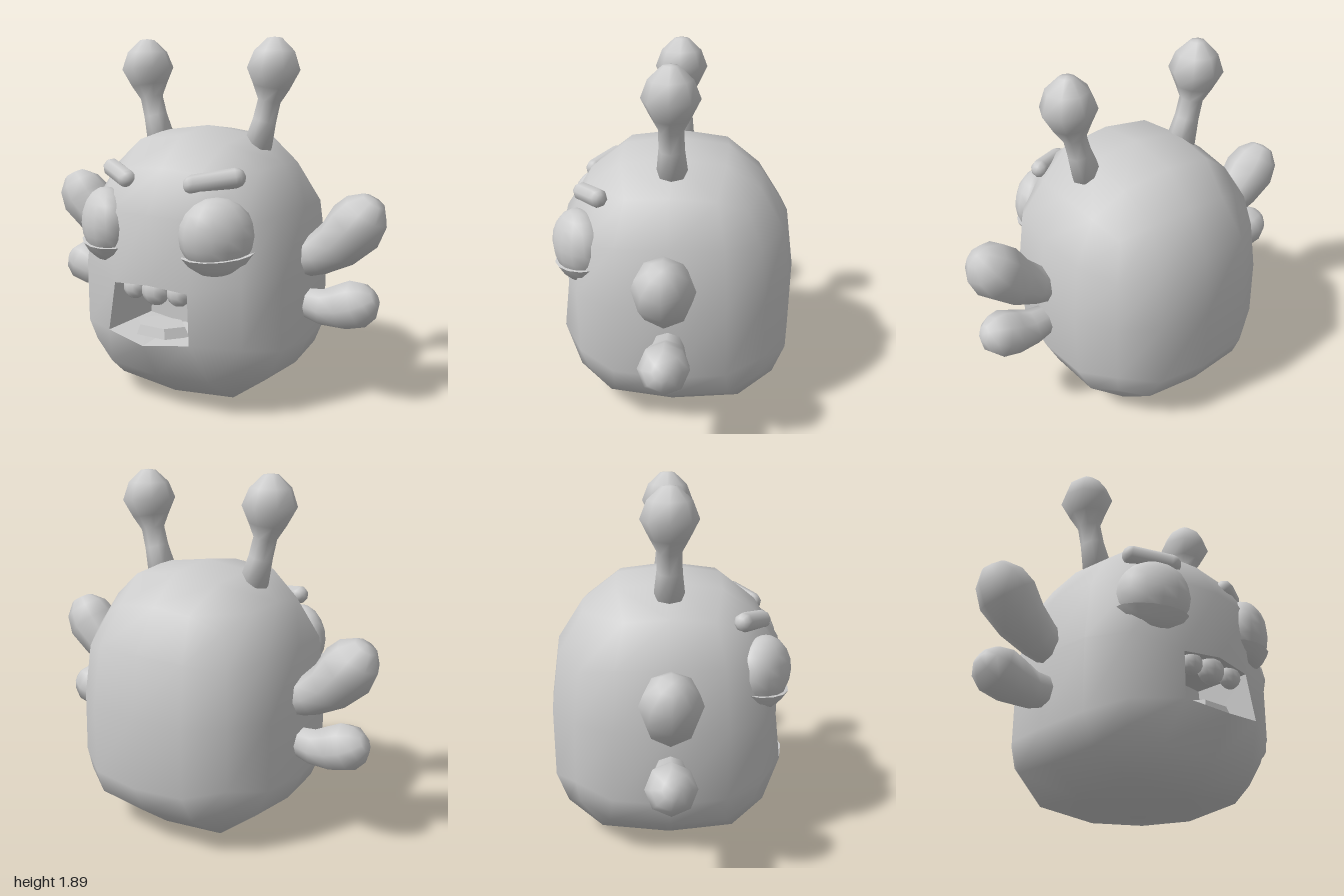
import * as THREE from 'three';
import { mergeVertices, toCreasedNormals } from 'three/addons/utils/BufferGeometryUtils.js';

const grey = new THREE.MeshStandardMaterial({ color: 0xcccccc, side: THREE.DoubleSide });
grey.name = 'grey';

// Mouth opening, counter-clockwise seen from the front
const rim = [[0.215, 0.66, 0.575], [0, 0.68, 0.6], [-0.215, 0.66, 0.575],
  [-0.24, 0.41, 0.6], [0, 0.38, 0.645], [0.24, 0.41, 0.6]];

function part(group, name, geometry, x = 0, y = 0, z = 0) {
  const mesh = new THREE.Mesh(geometry, grey);
  mesh.name = name;
  mesh.position.set(x, y, z);
  group.add(mesh);
  return mesh;
}

function fromLoops(loops, closedSmooth) {
  const n = loops[0].length;
  const index = [];
  for (let i = 0; i < loops.length - 1; i++) {
    for (let j = 0; j < n; j++) {
      const a = i * n + j, b = i * n + (j + 1) % n;
      index.push(a, b, b + n, a, b + n, a + n);
    }
  }
  const g = new THREE.BufferGeometry();
  g.setAttribute('position', new THREE.Float32BufferAttribute(loops.flat(2), 3));
  g.setIndex(index);
  const out = closedSmooth ? mergeVertices(g) : g.toNonIndexed();
  out.computeVertexNormals();
  return out;
}

// Rounded limb swept in the xy plane through [x, y, radius] stations
function limb(stations, side) {
  const pts = stations.map(([x, y]) => new THREE.Vector2(x * side, y));
  const loops = stations.map(([, , r], i) => {
    const t = pts[Math.min(i + 1, pts.length - 1)].clone().sub(pts[Math.max(i - 1, 0)]).normalize();
    return Array.from({ length: 8 }, (_, j) => {
      const a = j * Math.PI / 4, c = r * Math.cos(a);
      return [pts[i].x - t.y * c, pts[i].y + t.x * c, r * Math.sin(a)];
    });
  });
  return fromLoops(loops, true);
}

// Rounded cube, fuller at the base and tapered at the top, with a hole for the mouth
function bodyGeometry() {
  let g = new THREE.BoxGeometry(2, 2, 2, 4, 4, 4);
  const p = g.attributes.position, idx = g.index.array, kept = [];
  for (let i = 0; i < idx.length; i += 3) {
    const tri = [idx[i], idx[i + 1], idx[i + 2]];
    const mean = (f) => tri.reduce((sum, k) => sum + f(k), 0) / 3;
    const x = mean((k) => p.getX(k)), y = mean((k) => p.getY(k)), z = mean((k) => p.getZ(k));
    if (!(z > 0.99 && Math.abs(x) < 0.5 && y < 0 && y > -0.5)) kept.push(...tri);
  }
  g.setIndex(kept);
  const spread = (t) => t * (1.4 - 0.4 * Math.abs(t));
  const round = (a, b, c) => {
    const u = Math.abs(spread(b)) ** 3, v = Math.abs(spread(c)) ** 3;
    return spread(a) * Math.sqrt(1 - 0.44 * (u + v) + 0.265 * u * v);
  };
  const widen = (t, y, amount) => (y < 0
    ? 1 + amount * y * y + 0.25 * y ** 6 * (1 - Math.abs(t))
    : 1 - 0.04 * y);
  for (let i = 0; i < p.count; i++) {
    const x = p.getX(i), y = p.getY(i), z = p.getZ(i);
    if (z === 1 && Math.abs(x) <= 0.5 && (y === 0 || y === -0.5)) {
      const corner = y === 0 ? 1 - Math.sign(x) : 4 + Math.sign(x);
      p.setXYZ(i, ...rim[corner]);
      continue;
    }
    p.setXYZ(i, round(x, y, z) * 0.62 * widen(x, y, 0.17),
      0.715 + round(y, x, z) * 0.715 - (y === -0.5 ? 0.06 : 0),
      round(z, x, y) * 0.645 * widen(z, y, z > 0 ? 0.09 : 0.17));
  }
  g.deleteAttribute('normal');
  g.deleteAttribute('uv');
  g = mergeVertices(g);
  g.computeVertexNormals();
  return g;
}

export function createModel() {
  const model = new THREE.Group();
  model.name = 'creature';
  part(model, 'body', bodyGeometry());

  // Mouth cavity, tongue and upper teeth
  const back = rim.map(([x, y]) => [x * 0.82, 0.53 + (y - 0.53) * 0.88, 0.28]);
  const middle = back.map(() => [0, 0.53, 0.28]);
  part(model, 'mouthCavity', fromLoops([rim, back, middle].reverse(), false));
  const tongue = new THREE.CylinderGeometry(0.85, 1, 0.05, 6, 1).rotateY(Math.PI / 6);
  tongue.scale(0.17, 1, 0.11);
  part(model, 'tongue', toCreasedNormals(tongue, 0.5), 0, 0.43, 0.48);
  for (const [x, r] of [[-0.125, 0.062], [0.005, 0.078], [0.14, 0.065]]) {
    const tooth = part(model, 'tooth', new THREE.SphereGeometry(r, 10, 7), x, 0.64, 0.53);
    tooth.scale.z = 0.75;
  }

  for (const side of [-1, 1]) {
    const label = side > 0 ? 'left' : 'right';

    // Flattened eye with a lower lid cup, turned outward
    const eye = new THREE.Group();
    eye.name = label + 'Eye';
    eye.position.set(0.328 * side, 0.945, 0.48);
    eye.rotation.y = 0.64 * side;
    model.add(eye);
    part(eye, 'eyeball', new THREE.SphereGeometry(1, 14, 10)).scale.set(0.187, 0.187, 0.13);
    const cup = Array.from({ length: 5 }, (_, i) => {
      const a = i / 4 * 1.13;
      return new THREE.Vector2(Math.sin(a), -Math.cos(a));
    });
    cup.push(new THREE.Vector2(0, cup[4].y));
    const lid = part(eye, 'lowerLid', toCreasedNormals(new THREE.LatheGeometry(cup, 14), 0.8));
    lid.scale.set(0.205, 0.207, 0.15);
    lid.rotation.set(0.1, 0, 0.08 * side);

    // Slanted brow
    const outer = new THREE.Vector3(0.37 * side, 1.215, 0.37);
    const inner = new THREE.Vector3(0.195 * side, 1.182, 0.48);
    const dir = inner.clone().sub(outer);
    const brow = part(model, label + 'Brow', new THREE.CapsuleGeometry(0.05, dir.length(), 3, 8));
    brow.position.copy(outer).add(inner).multiplyScalar(0.5);
    brow.quaternion.setFromUnitVectors(new THREE.Vector3(0, 1, 0), dir.normalize());

    // Antenna with a round knob
    part(model, label + 'Antenna', limb([[0.3, 1.33, 0], [0.302, 1.335, 0.08], [0.34, 1.47, 0.065],
      [0.365, 1.57, 0.063], [0.378, 1.64, 0.1], [0.388, 1.73, 0.145], [0.39, 1.82, 0.11],
      [0.39, 1.885, 0.04], [0.39, 1.89, 0]], side));

    // Upper and lower side lobes
    part(model, label + 'UpperLobe', limb([[0.53, 0.73, 0], [0.54, 0.735, 0.085], [0.65, 0.787, 0.107],
      [0.76, 0.86, 0.13], [0.85, 0.96, 0.15], [0.905, 1.04, 0.125],
      [0.94, 1.095, 0.065], [0.945, 1.105, 0]], side));
    part(model, label + 'LowerLobe', limb([[0.54, 0.53, 0], [0.55, 0.53, 0.07], [0.69, 0.513, 0.097],
      [0.79, 0.53, 0.118], [0.875, 0.56, 0.125], [0.935, 0.587, 0.095],
      [0.967, 0.603, 0.045], [0.97, 0.605, 0]], side));
  }
  return model;
}
